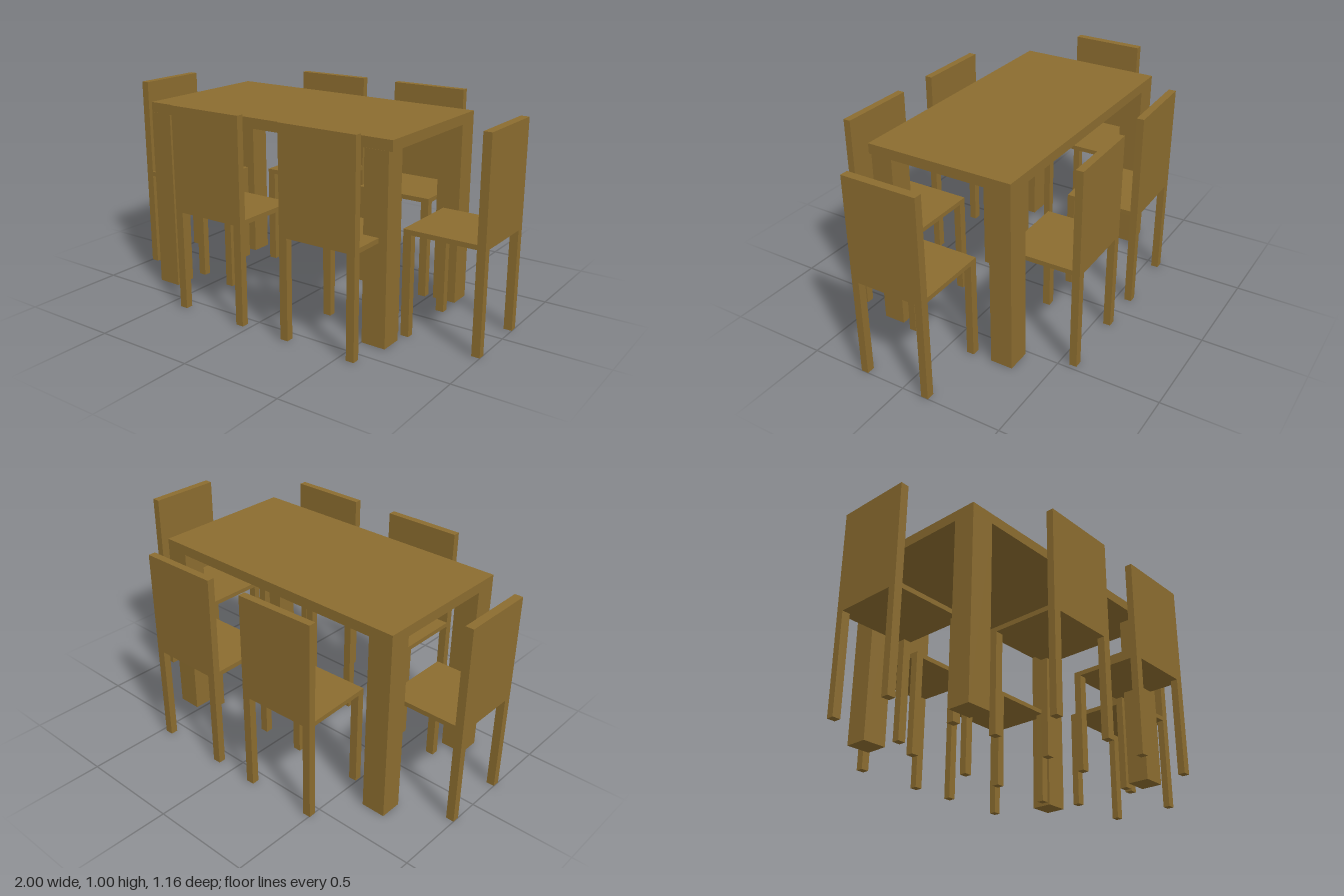
import * as THREE from 'three';

const wood = new THREE.MeshStandardMaterial({ color: 0x8b6c2f });

// Box given by its min and max corners
function box(name, [x0, y0, z0], [x1, y1, z1]) {
  const mesh = new THREE.Mesh(new THREE.BoxGeometry(x1 - x0, y1 - y0, z1 - z0), wood);
  mesh.position.set((x0 + x1) / 2, (y0 + y1) / 2, (z0 + z1) / 2);
  mesh.name = name;
  return mesh;
}

// Chair centred on its seat, backrest on local +z
function makeChair(name, width, depth, legW, legD) {
  const chair = new THREE.Group();
  chair.name = name;
  const w = width / 2, d = depth / 2, seatY = 0.488, seatTop = 0.511;
  chair.add(box('seat', [-w, seatY, -d], [w, seatTop, d - legD]));
  chair.add(box('backrest', [-w, seatY, d - legD], [w, 0.995, d]));
  for (const x of [-w, w - legW]) {
    for (const z of [-d, d - legD]) {
      chair.add(box(z < 0 ? 'frontLeg' : 'backLeg', [x, 0, z], [x + legW, seatY, z + legD]));
    }
  }
  return chair;
}

function makeTable() {
  const table = new THREE.Group();
  table.name = 'table';
  table.add(box('tableTop', [-0.745, 0.895, -0.34], [0.64, 0.945, 0.395]));
  // Leg corners: min x, min z (one leg sits slightly inset)
  for (const [x, z] of [[-0.745, 0.286], [-0.745, -0.34], [0.503, 0.286], [0.52, -0.34]]) {
    table.add(box('tableLeg', [x, 0, z], [x + 0.12, 0.895, z + 0.11]));
  }
  return table;
}

export function createModel() {
  const model = new THREE.Group();
  model.name = 'diningSet';
  model.add(makeTable());

  // Side chairs: x, z, turn
  const sides = [
    [-0.23, 0.395, 0], [0.385, 0.395, 0],
    [-0.302, -0.389, Math.PI + 0.03], [0.284, -0.396, Math.PI + 0.016],
  ];
  for (const [x, z, turn] of sides) {
    const chair = makeChair('sideChair', 0.394, 0.37, 0.04, 0.036);
    chair.position.set(x, 0, z);
    chair.rotation.y = turn;
    model.add(chair);
  }

  // End chairs: x, z, turn
  for (const [x, z, turn] of [[0.803, 0.047, Math.PI / 2], [-0.803, 0.028, -Math.PI / 2]]) {
    const chair = makeChair('endChair', 0.368, 0.394, 0.036, 0.04);
    chair.position.set(x, 0, z);
    chair.rotation.y = turn;
    model.add(chair);
  }
  return model;
}
